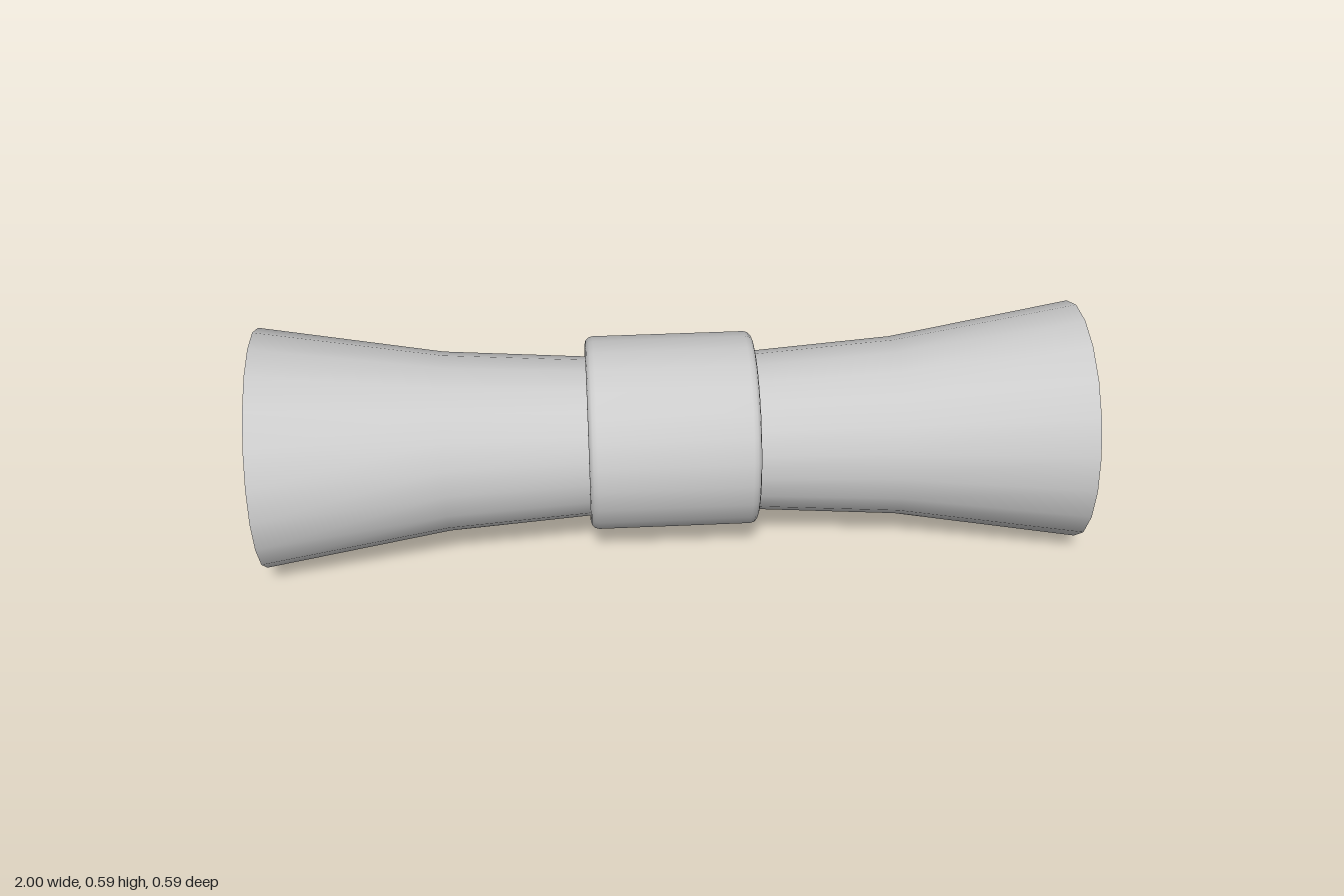
import * as THREE from 'three';
import { toCreasedNormals } from 'three/addons/utils/BufferGeometryUtils.js';

const STEP = Math.PI / 10; // 20 facets per turn

// Points [z, y] of one turn about height cy; the radius eases from r0 to r1 over the first quarter.
function turn(cy, r0, r1, steps) {
  const points = [];
  for (let i = 0; i <= steps; i++) {
    const r = THREE.MathUtils.lerp(r0, r1, Math.min(i / 5, 1));
    points.push([-r * Math.cos(i * STEP), cy + r * Math.sin(i * STEP)]);
  }
  return points;
}

// Sheet rolled into a spiral: each turn narrows towards the middle about its own centre.
function sheetGeometry() {
  const turns = [
    { cy: 0.295, waist: 0.62, points: [[-0.297, 0.157], ...turn(0.295, 0.297, 0.293, 16), [-0.168, 0.05], [-0.21, 0.107], [-0.237, 0.193]] },
    { cy: 0.289, waist: 0.755, points: [...turn(0.289, 0.24, 0.209, 15), [-0.068, 0.09], [-0.12, 0.125], [-0.157, 0.192]] },
    { cy: 0.275, waist: 0.76, points: [...turn(0.275, 0.157, 0.129, 15), [-0.04, 0.15], [-0.085, 0.17]] },
  ];
  // Rows along the length: [x, how far the flare has opened]
  const rows = [[-1, 1], [-0.55, 0.34], [0, 0], [0.55, 0.34], [1, 1]];
  const positions = [], index = [];
  let columns = 0;
  for (const { cy, waist, points } of turns) {
    for (const [z, y] of points) {
      for (const [x, open] of rows) {
        const s = THREE.MathUtils.lerp(waist, 1, open);
        positions.push(x, cy + (y - cy) * s, z * s);
      }
      columns++;
    }
  }
  const n = rows.length;
  for (let c = 0; c < columns - 1; c++) {
    for (let r = 0; r < n - 1; r++) {
      const a = c * n + r, b = a + n;
      index.push(a, a + 1, b, b, a + 1, b + 1);
    }
  }
  const geometry = new THREE.BufferGeometry();
  geometry.setAttribute('position', new THREE.Float32BufferAttribute(positions, 3));
  geometry.setIndex(index);
  return toCreasedNormals(geometry, 0.8);
}

// Hollow band with rounded outer rims, turned about the x axis.
function bandGeometry() {
  const half = 0.205, outer = 0.238, inner = 0.2, bevel = 0.02;
  const profile = [[inner, -half]];
  for (const side of [-1, 1]) {
    for (let i = 0; i <= 3; i++) {
      const a = side * (side < 0 ? 3 - i : i) * Math.PI / 6;
      profile.push([outer - bevel + bevel * Math.cos(a), side * (half - bevel) + bevel * Math.sin(a)]);
    }
  }
  profile.push([inner, half], [inner, -half]);
  const geometry = new THREE.LatheGeometry(profile.map(([r, y]) => new THREE.Vector2(r, y)), 24);
  geometry.rotateZ(-Math.PI / 2);
  return toCreasedNormals(geometry, 0.7);
}

export function createModel() {
  const group = new THREE.Group();
  group.name = 'rolledScroll';

  const sheet = new THREE.Mesh(
    sheetGeometry(),
    new THREE.MeshStandardMaterial({ color: 0xcccccc, side: THREE.DoubleSide })
  );
  sheet.name = 'rolledSheet';

  const band = new THREE.Mesh(bandGeometry(), new THREE.MeshStandardMaterial({ color: 0xcccccc }));
  band.name = 'band';
  band.position.y = 0.305;

  group.add(sheet, band);
  return group;
}
